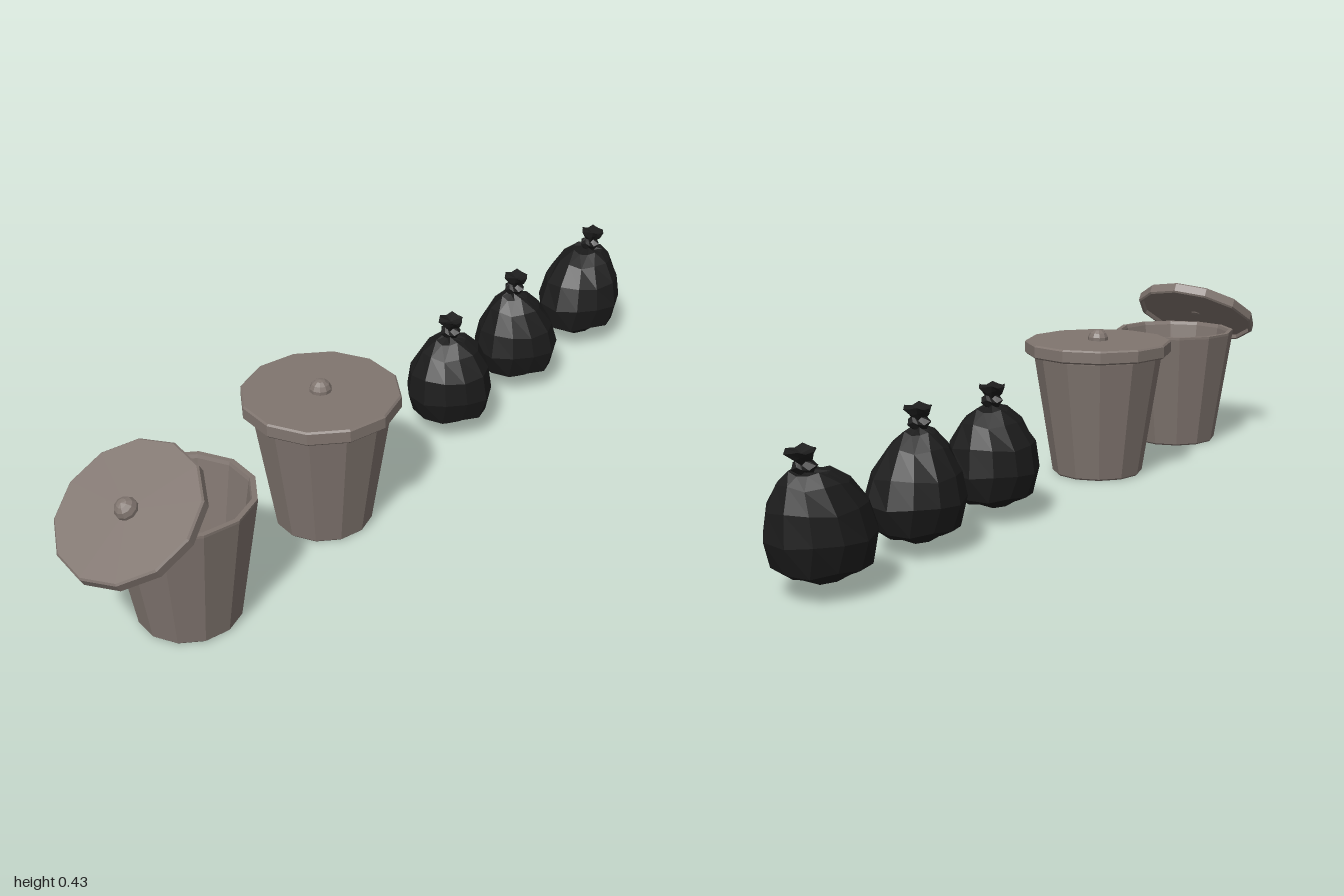
import * as THREE from 'three';

const SIDES = 12;

// Bake faceted normals into the geometry
function faceted(geometry) {
  const g = geometry.toNonIndexed();
  g.computeVertexNormals();
  return g;
}

const lathe = (points, sides = SIDES) =>
  new THREE.LatheGeometry(points.map(([r, y]) => new THREE.Vector2(r, y)), sides);

// Hollow tapered bin: outer wall, rim, inner wall, floor
function makeBin(material) {
  const bin = new THREE.Mesh(faceted(lathe([
    [0, 0], [0.11, 0], [0.114, 0.004], [0.161, 0.3], [0.161, 0.306],
    [0.149, 0.306], [0.146, 0.298], [0.102, 0.015], [0, 0.015],
  ])), material);
  bin.name = 'bin';
  return bin;
}

// Shallow lid with a bevelled edge, a recessed underside and a round knob
function makeLid(material, radius, height) {
  const lid = new THREE.Group();
  const h = height / 2, b = 0.004;
  const plate = new THREE.Mesh(faceted(lathe([
    [0, -h + 0.01], [radius - 0.012, -h + 0.01], [radius - 0.009, -h], [radius - b, -h],
    [radius, -h + b], [radius, h - b], [radius - b, h], [0, h],
  ])), material);
  plate.name = 'lidPlate';
  const knob = new THREE.Mesh(faceted(new THREE.SphereGeometry(0.026, 10, 7)), material);
  knob.name = 'lidKnob';
  knob.position.y = h + 0.002;
  lid.add(plate, knob);
  return lid;
}

// Lumpy outline shared by the bags, starting at the front and turning to +x
const LUMPS = [1.04, 0.99, 1.04, 1.0, 1.04, 0.98, 0.97, 0.96, 1.02, 1.01, 1.0, 0.96];

// Body rows are [y, centre x, radius x, radius z]; the tied neck starts at neckX, neckY
function makeBag(material, body, neckX, neckY, lean) {
  const neck = [[0, 0.016], [0.012, 0.026], [0.022, 0.015], [0.034, 0.025], [0.046, 0.031], [0.038, 0]]
    .map(([dy, r]) => [neckY + dy, neckX + dy * lean, r, r]);
  const first = body[0];
  const rows = [[first[0] + 0.006, first[1], 0, 0], ...body, ...neck];
  const g = lathe(rows.map(([y, , r]) => [r, y]));
  const p = g.attributes.position;
  for (let i = 0; i <= SIDES; i++) {
    rows.forEach(([y, cx, rx, rz], j) => {
      const k = i % SIDES;
      const isNeck = j > body.length;
      const pleat = k % 2 ? 0.9 : 1.08;
      const f = isNeck ? pleat : LUMPS[k];
      const a = (k / SIDES) * Math.PI * 2 + (isNeck ? 0 : 0.07 * Math.sin(j * 2.3));
      const wave = j === 0 || rx === 0 ? 0 : 0.004 * Math.sin(k * 2.1 + j * 1.7);
      const tilt = isNeck ? -0.25 * lean * rx * Math.sin(a) : 0;
      p.setXYZ(i * rows.length + j, cx + rx * f * Math.sin(a), y + wave + tilt, rz * f * Math.cos(a));
    });
  }
  const bag = new THREE.Mesh(faceted(g), material);
  bag.name = 'bag';
  return bag;
}

export function createModel() {
  const model = new THREE.Group();
  const metal = new THREE.MeshStandardMaterial({ color: 0x80756f });
  metal.name = 'warm grey metal';
  const plastic = new THREE.MeshStandardMaterial({ color: 0x1b1b1b, side: THREE.DoubleSide });
  plastic.name = 'black plastic';

  // Open bin with its lid leaning on the rim
  const openBin = makeBin(metal);
  openBin.name = 'openBin';
  openBin.position.x = -0.712;
  const leaningLid = makeLid(metal, 0.166, 0.029);
  leaningLid.name = 'leaningLid';
  leaningLid.position.set(-0.853, 0.336, 0);
  leaningLid.rotation.z = THREE.MathUtils.degToRad(31.5);

  // Closed bin
  const closedBin = makeBin(metal);
  closedBin.name = 'closedBin';
  closedBin.position.x = -0.259;
  const closedLid = makeLid(metal, 0.184, 0.034);
  closedLid.name = 'closedLid';
  closedLid.position.set(-0.259, 0.322, 0);

  // Three tied bags: upright, pointed and leaning
  const roundBag = makeBag(plastic, [
    [0.04, 0.25, 0.06, 0.06], [0.06, 0.247, 0.095, 0.095], [0.115, 0.244, 0.11, 0.109],
    [0.175, 0.243, 0.102, 0.1], [0.225, 0.247, 0.075, 0.07], [0.252, 0.248, 0.04, 0.038],
  ], 0.248, 0.26, 0);
  roundBag.name = 'roundBag';

  const pointedBag = makeBag(plastic, [
    [0.035, 0.555, 0.058, 0.058], [0.057, 0.55, 0.098, 0.096], [0.115, 0.55, 0.116, 0.11],
    [0.17, 0.546, 0.099, 0.098], [0.225, 0.54, 0.066, 0.066], [0.255, 0.536, 0.034, 0.036],
  ], 0.535, 0.264, 0.15);
  pointedBag.name = 'pointedBag';

  const leaningBag = makeBag(plastic, [
    [0.037, 0.865, 0.07, 0.06], [0.06, 0.868, 0.108, 0.098], [0.12, 0.872, 0.121, 0.111],
    [0.18, 0.88, 0.107, 0.098], [0.228, 0.893, 0.074, 0.07], [0.25, 0.905, 0.042, 0.042],
  ], 0.915, 0.25, 0.35);
  leaningBag.name = 'leaningBag';

  model.add(openBin, leaningLid, closedBin, closedLid, roundBag, pointedBag, leaningBag);
  return model;
}
